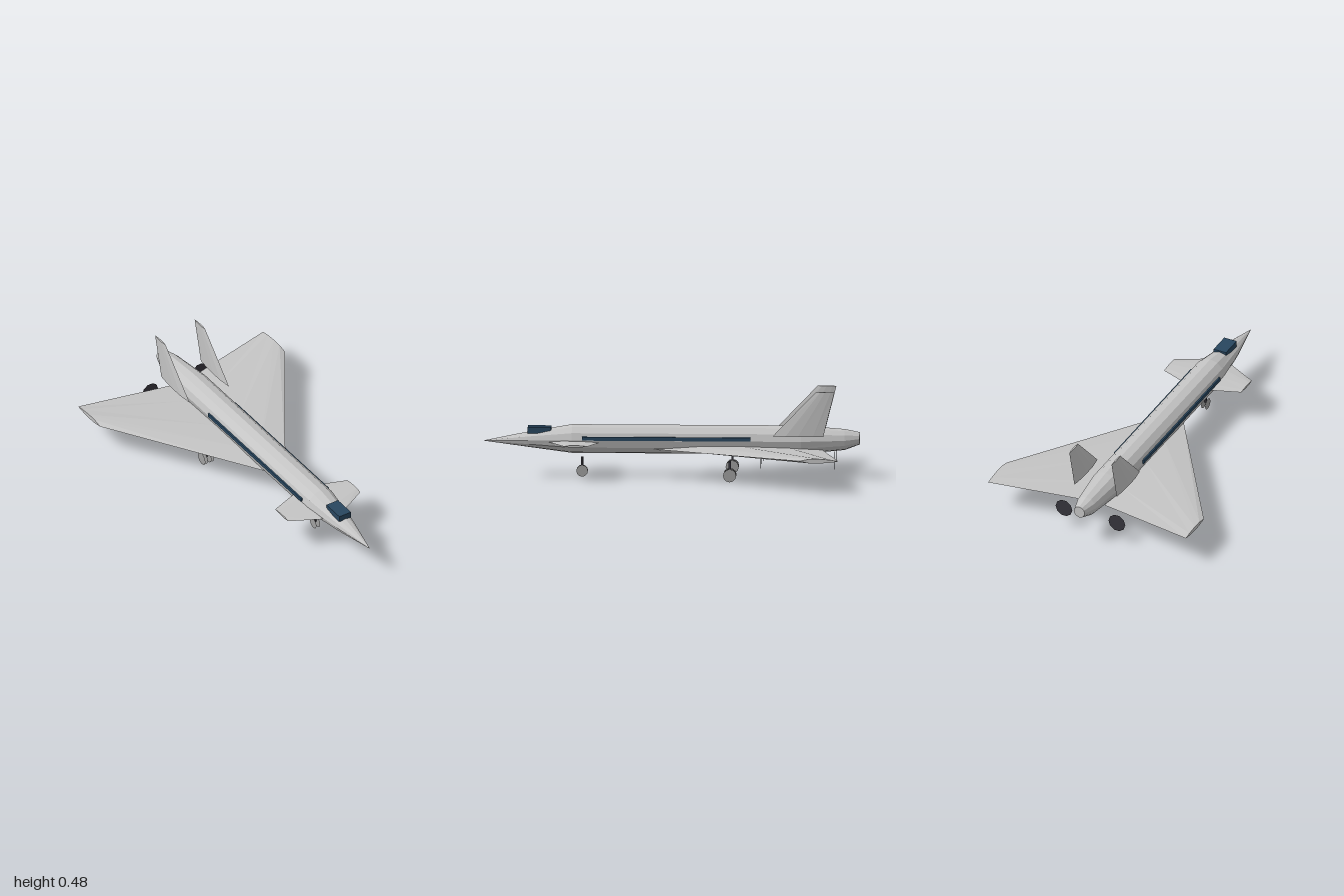
import * as THREE from 'three';

const mat = (name, color, side = THREE.FrontSide) => {
  const m = new THREE.MeshStandardMaterial({ color, side, flatShading: true });
  m.name = name;
  return m;
};

// Joins equal-sized rings of [x, y, z] points into a closed solid with faces outward
function loft(rings) {
  const n = rings[0].length;
  const tris = [];
  for (let r = 0; r < rings.length - 1; r++) {
    for (let i = 0; i < n; i++) {
      const j = (i + 1) % n;
      const [a, b, c, d] = [rings[r][i], rings[r][j], rings[r + 1][j], rings[r + 1][i]];
      tris.push([a, b, c], [a, c, d]);
    }
  }
  const first = rings[0], last = rings[rings.length - 1];
  for (let i = 1; i < n - 1; i++) {
    tris.push([first[0], first[i + 1], first[i]], [last[0], last[i], last[i + 1]]);
  }
  // Signed volume tells whether the winding must be turned round
  let volume = 0;
  for (const [a, b, c] of tris) {
    volume += a[0] * (b[1] * c[2] - b[2] * c[1])
      + a[1] * (b[2] * c[0] - b[0] * c[2])
      + a[2] * (b[0] * c[1] - b[1] * c[0]);
  }
  const points = tris.flatMap((t) => (volume < 0 ? [t[0], t[2], t[1]] : t)).flat();
  const g = new THREE.BufferGeometry();
  g.setAttribute('position', new THREE.Float32BufferAttribute(points, 3));
  g.computeVertexNormals();
  return g;
}

// Faceted aerofoil: [fraction of chord, fraction of thickness]
const FOIL = [[0, 0], [0.25, 0.45], [0.5, 0.5], [0.8, 0.3], [1, 0], [0.8, -0.3], [0.5, -0.5], [0.25, -0.45]];
const foil = (front, back, thick, place) =>
  FOIL.map(([c, t]) => place(t * thick, front + (back - front) * c));

export function createModel() {
  const model = new THREE.Group();
  model.name = 'jetAircraft';

  const body = mat('lightGrey', 0xc4c4c4);
  const glass = mat('darkBlueGlass', 0x28465f);
  const dark = mat('darkGrey', 0x36343c, THREE.DoubleSide);
  const tyre = mat('wheelGrey', 0xa0a0a0, THREE.DoubleSide);

  const add = (name, geometry, material, x = 0, y = 0, z = 0) => {
    const mesh = new THREE.Mesh(geometry, material);
    mesh.name = name;
    mesh.position.set(x, y, z);
    model.add(mesh);
    return mesh;
  };

  // Fuselage stations: z, centre y, half width, half height
  const stations = [
    [1, 0.19, 0.001, 0.001],
    [0.77, 0.198, 0.05, 0.04],
    [0.53, 0.203, 0.083, 0.077],
    [-0.69, 0.203, 0.083, 0.077],
    [-0.92, 0.206, 0.057, 0.056],
    [-1, 0.213, 0.032, 0.033],
  ];
  add('fuselage', loft(stations.map(([z, y, rx, ry]) =>
    Array.from({ length: 12 }, (_, i) => {
      const a = (i * Math.PI) / 6;
      return [rx * Math.cos(a), y + ry * Math.sin(a), z];
    }))), body);

  // Cockpit canopy
  add('canopy', new THREE.BoxGeometry(0.074, 0.034, 0.125), glass, 0, 0.251, 0.703);

  for (const s of [1, -1]) {
    const side = s > 0 ? 'left' : 'right';

    // Delta wing with slight dihedral
    add(side + 'Wing', loft([
      foil(0.115, -0.803, 0.038, (t, z) => [s * 0.05, 0.156 + t, z]),
      foil(-0.7, -0.91, 0.024, (t, z) => [s * 0.59, 0.171 + t, z]),
    ]), body);

    // Foreplane
    add(side + 'Foreplane', loft([
      foil(0.66, 0.375, 0.016, (t, z) => [s * 0.05, 0.192 + t, z]),
      foil(0.565, 0.44, 0.012, (t, z) => [s * 0.23, 0.192 + t, z]),
    ]), body);

    // Tail fin
    add(side + 'Fin', loft([
      foil(-0.54, -0.81, 0.018, (t, z) => [s * 0.126 + t, 0.237, z]),
      foil(-0.77, -0.87, 0.009, (t, z) => [s * 0.126 + t, 0.476, z]),
    ]), body);

    // Window band
    add(side + 'WindowBand', new THREE.BoxGeometry(0.009, 0.02, 0.895), glass, s * 0.084, 0.214, 0.027);

    // Engine intake and exhaust discs
    add(side + 'Intake', new THREE.CircleGeometry(0.05, 10), dark, s * 0.158, 0.115, -0.48);
    add(side + 'Exhaust', new THREE.CircleGeometry(0.05, 10), dark, s * 0.158, 0.115, -0.87);
  }

  // Landing gear: strut with flat wheel faces on both sides
  const gear = (name, x, z, radius, offsets) => {
    add(name + 'Strut', new THREE.BoxGeometry(0.011, 0.069, 0.011), dark, x, 0.0725, z);
    for (const o of offsets) {
      const wheel = add(name + 'Wheel', new THREE.CircleGeometry(radius, 12), tyre, x + o, radius, z);
      wheel.rotation.y = Math.PI / 2;
    }
  };
  gear('noseGear', 0, 0.477, 0.031, [-0.012, 0.012]);
  gear('leftGear', 0.17, -0.315, 0.035, [-0.027, -0.012, 0.012, 0.027]);
  gear('rightGear', -0.17, -0.315, 0.035, [-0.027, -0.012, 0.012, 0.027]);

  return model;
}
